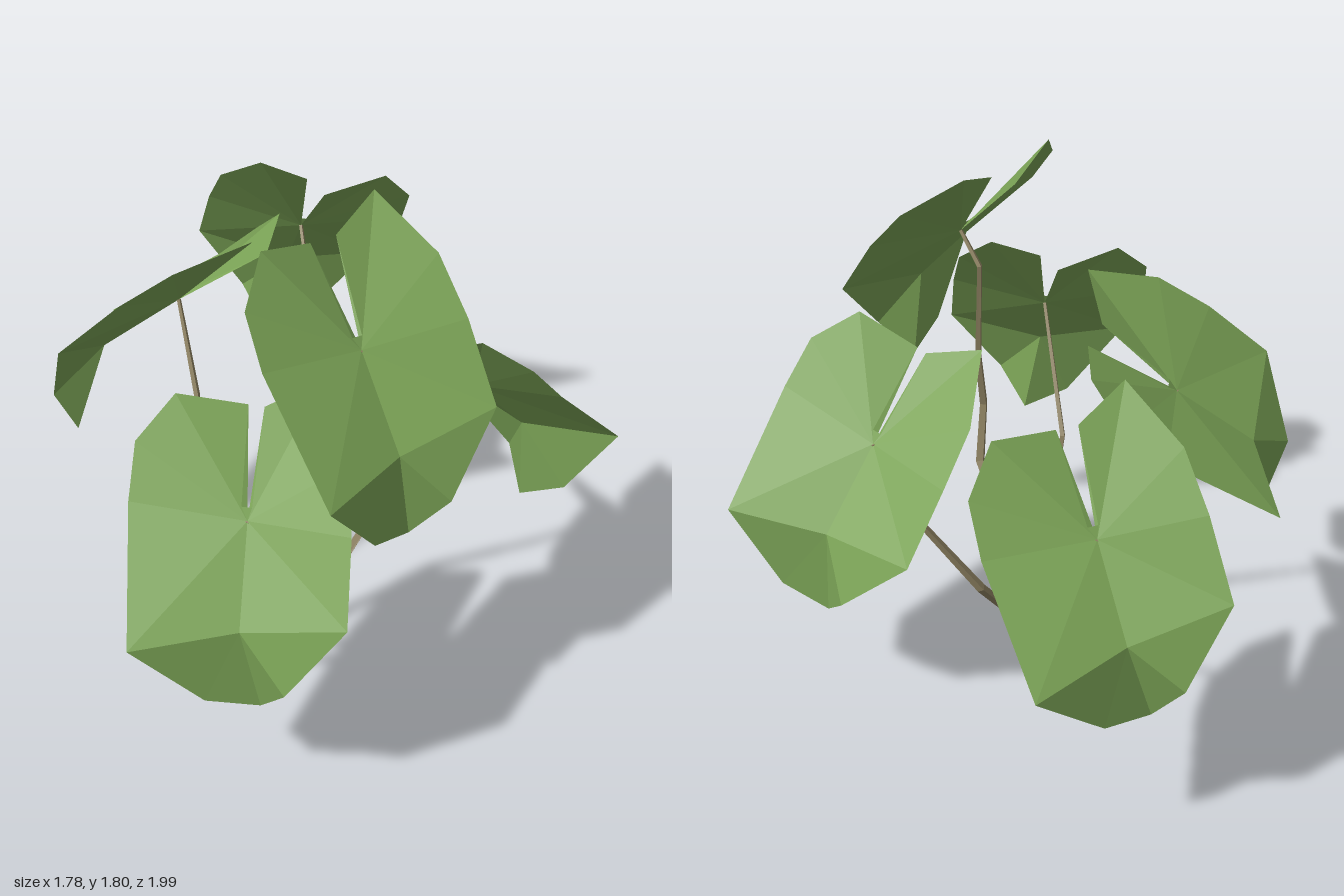
import * as THREE from 'three';

const leafMaterial = new THREE.MeshStandardMaterial({ color: 0x7ba356, flatShading: true, side: THREE.DoubleSide });
const stemMaterial = new THREE.MeshStandardMaterial({ color: 0x8c8060, flatShading: true });

// Heart-shaped leaf blade: x across, y from tip up to lobes, z out of the face; origin at the notch
const HUB = [0.01, -0.04, -0.02];
const FOLD = [0.02, -0.364, -0.026];
const BLADE = [
  [-0.01, 0, -0.01], [-0.028, 0.297, -0.034], [-0.225, 0.306, 0.056],
  [-0.33, 0.156, 0.057], [-0.334, -0.02, 0.046], [-0.284, -0.452, 0.065],
  FOLD,
  [0.345, -0.319, 0.021], [0.334, -0.05, 0.05], [0.311, 0.157, 0.05],
  [0.197, 0.389, 0.015], [0.033, 0.294, 0.016], [0.022, 0, -0.01],
];
// Drooping tip below the fold, from the left corner to the right corner
const TIP = [
  BLADE[5], [-0.09, -0.586, -0.142], [0.062, -0.588, -0.219], [0.16, -0.538, -0.083], BLADE[7],
];

function fan(center, rim) {
  const out = [];
  for (let i = 0; i < rim.length - 1; i++) out.push(...center, ...rim[i], ...rim[i + 1]);
  return out;
}

function leafGeometry() {
  const geo = new THREE.BufferGeometry();
  const positions = [...fan(HUB, [...BLADE, BLADE[0]]), ...fan(FOLD, TIP)];
  geo.setAttribute('position', new THREE.Float32BufferAttribute(positions, 3));
  geo.computeVertexNormals();
  return geo;
}

// Matrix that places a leaf from its notch position, its sideways direction and its tip direction
function leafMatrix(notch, side, tip) {
  const up = new THREE.Vector3(...tip).normalize().negate();
  const across = new THREE.Vector3(...side);
  across.addScaledVector(up, -across.dot(up)).normalize();
  const out = new THREE.Vector3().crossVectors(across, up);
  return new THREE.Matrix4().makeBasis(across, up, out).setPosition(...notch);
}

// Tapered, angular stalk lofted through a few bend points
function stemGeometry(points, sides = 4, r0 = 0.021, r1 = 0.007) {
  const positions = [], index = [];
  const yAxis = new THREE.Vector3(0, 1, 0);
  const last = points.length - 1;
  points.forEach((p, i) => {
    const dir = new THREE.Vector3();
    if (i > 0) dir.add(p.clone().sub(points[i - 1]).normalize());
    if (i < last) dir.add(points[i + 1].clone().sub(p).normalize());
    if (i === 0) dir.copy(yAxis);
    const turn = new THREE.Quaternion().setFromUnitVectors(yAxis, dir.normalize());
    const r = THREE.MathUtils.lerp(r0, r1, i / last);
    for (let k = 0; k < sides; k++) {
      const a = (k / sides) * Math.PI * 2;
      const v = new THREE.Vector3(Math.cos(a) * r, 0, Math.sin(a) * r).applyQuaternion(turn).add(p);
      positions.push(v.x, v.y, v.z);
    }
  });
  for (let i = 0; i < last; i++) {
    for (let k = 0; k < sides; k++) {
      const a = i * sides + k, b = i * sides + (k + 1) % sides;
      index.push(a, a + sides, b, b, a + sides, b + sides);
    }
  }
  // Bottom and top caps
  for (let k = 1; k < sides - 1; k++) {
    const t = last * sides;
    index.push(0, k, k + 1, t, t + k + 1, t + k);
  }
  const geo = new THREE.BufferGeometry();
  geo.setAttribute('position', new THREE.Float32BufferAttribute(positions, 3));
  geo.setIndex(index);
  geo.computeVertexNormals();
  return geo;
}

// Notch position, leaf directions and stalk bends of the five leaves
const BASE = [-0.11, 0, 0.14];
const LEAVES = [
  { name: 'frontLeaf', notch: [-0.08, 1.5, 0.53], side: [0.99, -0.03, -0.08], tip: [0.05, -0.75, 0.66],
    bends: [[-0.108, 0.55, 0.51], [-0.145, 0.76, 0.537], [-0.115, 0.97, 0.52], [-0.09, 1.35, 0.465]] },
  { name: 'frontRightLeaf', notch: [-0.468, 1.057, 0.6], side: [0.786, 0.049, 0.617], tip: [-0.35, -0.78, 0.51],
    bends: [[-0.245, 0.147, 0.28], [-0.32, 0.375, 0.37], [-0.37, 0.62, 0.38]] },
  { name: 'leftLeaf', notch: [0.458, 1.024, 0.27], side: [-0.31, -0.165, -0.93], tip: [0.676, -0.732, -0.093],
    bends: [[0.18, 0.375, 0.095], [0.36, 0.68, 0.2]] },
  { name: 'backLeftLeaf', notch: [0.304, 1.13, -0.66], side: [-0.906, 0.145, -0.4], tip: [0.14, -0.787, -0.6],
    bends: [[0.01, 0.2, -0.14], [0.13, 0.526, -0.2], [0.2, 0.7, -0.3]] },
  { name: 'backRightLeaf', notch: [-0.278, 1.217, -0.3], side: [-0.746, 0.265, 0.612], tip: [-0.646, -0.614, -0.439],
    bends: [[-0.25, 0.31, 0.05], [-0.345, 0.6, -0.04], [-0.31, 0.9, -0.16]] },
];

export function createModel() {
  const plant = new THREE.Group();
  plant.name = 'plant';
  const blade = leafGeometry();
  for (const { name, notch, side, tip, bends } of LEAVES) {
    const matrix = leafMatrix(notch, side, tip);

    const leaf = new THREE.Mesh(blade, leafMaterial);
    leaf.name = name;
    leaf.applyMatrix4(matrix);

    const path = [BASE, ...bends].map((p) => new THREE.Vector3(...p));
    path.push(new THREE.Vector3(...HUB).applyMatrix4(matrix));
    const stem = new THREE.Mesh(stemGeometry(path), stemMaterial);
    stem.name = name + 'Stem';

    plant.add(leaf, stem);
  }
  return plant;
}
